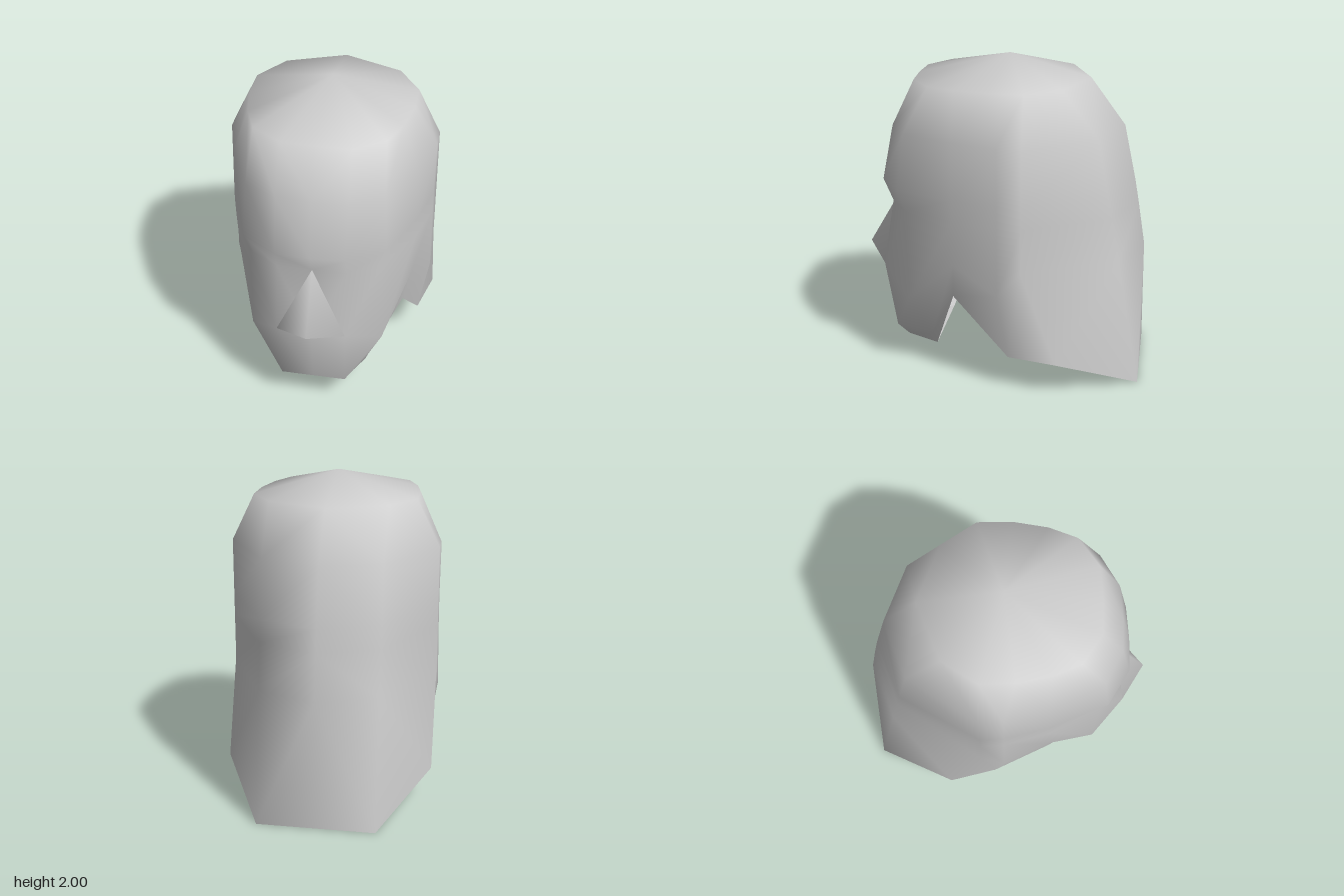
import * as THREE from 'three';
import { mergeVertices } from 'three/addons/utils/BufferGeometryUtils.js';

// Heights of the cross-sections, below the crown point
const ROWS = [1.86, 1.57, 1.22, 1.08, 0.65, 0.22, 0.15];

// Half outline from front centre to back centre: [x, z] or [x, z, own height]
const NOTCH = [0.5, 0.25, 0.575];
const SIDE_END = [0.57, -0.1, 0.22];
const REAR_END = [0.64, -0.4, 0.22];
const CORNER_END = [0.36, -0.89, 0];
const BACK_END = [0, -0.89, 0];
const COLUMNS = [
  // face centre
  [[0, 0.54], [0, 0.68], [0, 0.75], [0, 0.68], [0, 0.75], [0, 0.68], [0, 0.61]],
  // inner face
  [[0.21, 0.53], [0.21, 0.67], [0.21, 0.74], [0.21, 0.68], [0.21, 0.75], [0.2, 0.68], [0.18, 0.61]],
  // cheek
  [[0.39, 0.41], [0.41, 0.56], [0.43, 0.6], [0.4, 0.56], [0.41, 0.55, 0.5], [0.31, 0.43], [0.29, 0.4]],
  // temple, ending at the side notch
  [[0.46, 0.24], [0.56, 0.24], [0.57, 0.24], [0.565, 0.24], [0.55, 0.24, 0.8], NOTCH, NOTCH],
  // side
  [[0.5, 0.03], [0.64, -0.04], [0.635, -0.04], [0.635, -0.04], [0.64, -0.04], SIDE_END, SIDE_END],
  // rear side
  [[0.5, -0.18], [0.64, -0.185], [0.64, -0.185], [0.64, -0.185], [0.64, -0.185, 0.8], REAR_END, REAR_END],
  // back corner
  [[0.36, -0.39], [0.36, -0.61], [0.36, -0.675], [0.36, -0.7], [0.36, -0.75, 0.8], CORNER_END, CORNER_END],
  // back centre
  [[0, -0.53], [0, -0.745], [0, -0.82], [0, -0.845], [0, -0.89, 0.8], BACK_END, BACK_END],
];

function shellGeometry() {
  // Mirror the inner columns to close the ring
  const mirrored = COLUMNS.slice(1, -1).reverse()
    .map(col => col.map(([x, z, y]) => [-x, z, y]));
  const ring = [...COLUMNS, ...mirrored];
  const n = ring.length;
  const positions = [0, 2, -0.03];
  ROWS.forEach((rowY, r) => ring.forEach(col => {
    const [x, z, y = rowY] = col[r];
    positions.push(x, y, z);
  }));

  const index = [];
  const at = (r, c) => 1 + r * n + (c % n);
  for (let c = 0; c < n; c++) {
    index.push(0, at(0, c), at(0, c + 1));
    for (let r = 0; r < ROWS.length - 1; r++) {
      const a = at(r, c), b = at(r, c + 1), d = at(r + 1, c), e = at(r + 1, c + 1);
      // Keep the diagonals symmetric on both sides
      if (c < n / 2) index.push(a, d, b, b, d, e);
      else index.push(a, d, e, a, e, b);
    }
  }
  const raw = new THREE.BufferGeometry();
  raw.setAttribute('position', new THREE.Float32BufferAttribute(positions, 3));
  raw.setIndex(index);
  const geometry = mergeVertices(raw);

  // Drop triangles that collapsed where columns end early
  const merged = geometry.index.array, kept = [];
  for (let i = 0; i < merged.length; i += 3) {
    const [a, b, c] = [merged[i], merged[i + 1], merged[i + 2]];
    if (a !== b && b !== c && a !== c) kept.push(a, b, c);
  }
  geometry.setIndex(kept);
  geometry.computeVertexNormals();
  return geometry;
}

// Small faceted piece from a few corners
function facets(points, index) {
  const geometry = new THREE.BufferGeometry();
  geometry.setAttribute('position', new THREE.Float32BufferAttribute(points, 3));
  geometry.setIndex(index);
  geometry.computeVertexNormals();
  return geometry;
}

export function createModel() {
  const group = new THREE.Group();
  group.name = 'helmet';
  const grey = new THREE.MeshStandardMaterial({ color: 0xcccccc, side: THREE.DoubleSide });
  grey.name = 'light grey';
  const add = (name, geometry) => {
    const mesh = new THREE.Mesh(geometry, grey);
    mesh.name = name;
    group.add(mesh);
  };

  // Open shell with face, notched sides and long neck guard
  add('helmetShell', shellGeometry());

  // Pointed nose: bridge, tip and two lower corners
  add('nose', facets(
    [0, 1.08, 0.68, 0, 0.72, 0.89, 0.21, 0.65, 0.75, -0.21, 0.65, 0.75],
    [0, 1, 2, 0, 3, 1, 1, 3, 2],
  ));

  // Flat plate closing the underside of the chin
  add('chinPlate', facets(
    [0.18, 0.15, 0.61, -0.18, 0.15, 0.61, -0.29, 0.15, 0.4, 0.29, 0.15, 0.4],
    [0, 1, 2, 0, 2, 3],
  ));
  return group;
}
